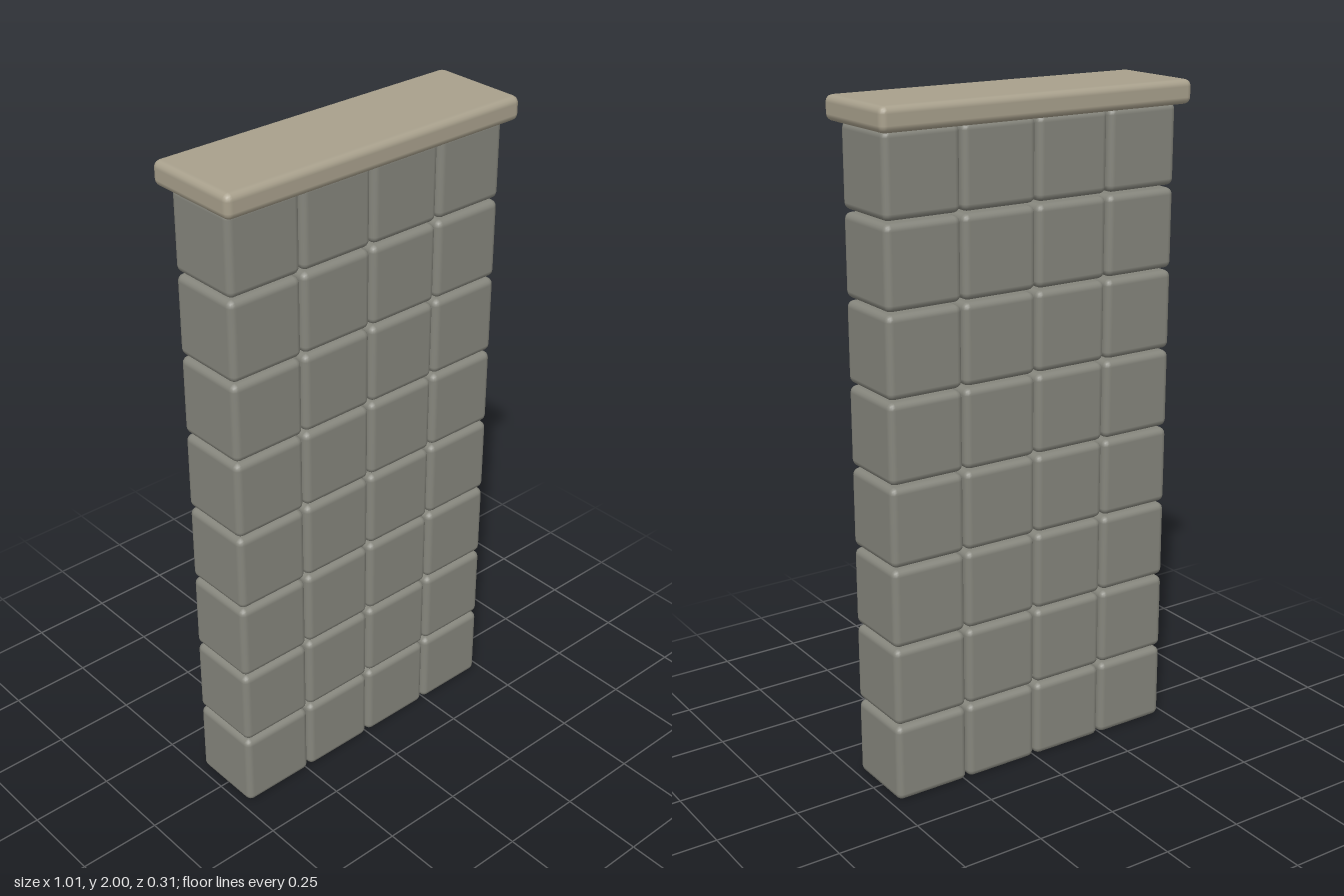
import * as THREE from 'three';
import { RoundedBoxGeometry } from 'three/addons/geometries/RoundedBoxGeometry.js';

export function createModel() {
  const group = new THREE.Group();
  const stone = new THREE.MeshStandardMaterial({ color: 0x85857c });
  const capStone = new THREE.MeshStandardMaterial({ color: 0xa8a08c });

  // Stacked blocks: 4 columns by 8 rows, with narrow joints
  const columns = 4, rows = 8, pitchX = 0.241, pitchY = 0.2425, height = 0.236;
  const blockGeometry = new RoundedBoxGeometry(0.235, height, 0.23, 2, 0.02);
  const wall = new THREE.Group();
  wall.name = 'wall';
  for (let row = 0; row < rows; row++) {
    for (let col = 0; col < columns; col++) {
      const block = new THREE.Mesh(blockGeometry, stone);
      block.name = `block${row + 1}_${col + 1}`;
      block.position.set((col - (columns - 1) / 2) * pitchX, height / 2 + row * pitchY, 0);
      wall.add(block);
    }
  }
  group.add(wall);

  // Overhanging coping slab
  const coping = new THREE.Mesh(new RoundedBoxGeometry(1.01, 0.07, 0.305, 2, 0.02), capStone);
  coping.name = 'coping';
  coping.position.y = 1.965;
  group.add(coping);

  return group;
}
